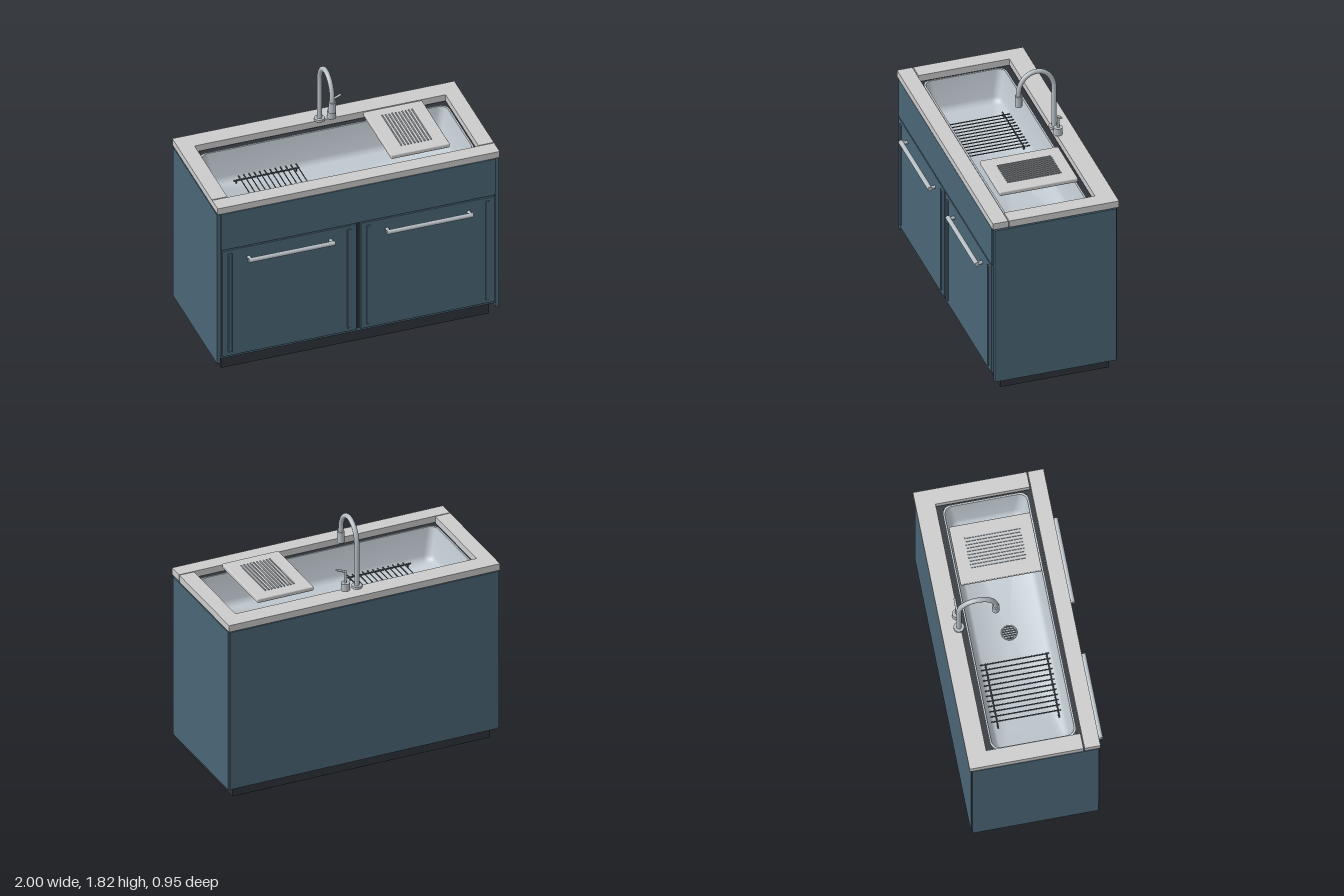
import * as THREE from 'three';
import { toCreasedNormals } from 'three/addons/utils/BufferGeometryUtils.js';
import { RoundedBoxGeometry } from 'three/addons/geometries/RoundedBoxGeometry.js';

const mat = (color) => new THREE.MeshStandardMaterial({ color });
const stone = mat(0xcccccc);
const blue = mat(0x4a6575);
const dark = mat(0x2e3238);
const steel = mat(0xb4bcc2);
const sinkSteel = mat(0xc0c9d0);
sinkSteel.side = THREE.DoubleSide;
const wire = mat(0x596066);

function add(parent, name, geometry, material, x = 0, y = 0, z = 0) {
  const mesh = new THREE.Mesh(geometry, material);
  mesh.name = name;
  mesh.position.set(x, y, z);
  parent.add(mesh);
  return mesh;
}

// Box given by its min and max along each axis, optionally rounded
function box(parent, name, material, [x0, x1], [y0, y1], [z0, z1], r = 0) {
  const s = [x1 - x0, y1 - y0, z1 - z0];
  const g = r ? new RoundedBoxGeometry(...s, 2, r) : new THREE.BoxGeometry(...s);
  return add(parent, name, g, material, (x0 + x1) / 2, (y0 + y1) / 2, (z0 + z1) / 2);
}

// Cylinder between two points
function rod(parent, name, material, a, b, r, sides = 16, r2 = r) {
  const p = new THREE.Vector3(...a), q = new THREE.Vector3(...b);
  const d = q.clone().sub(p);
  const mesh = add(parent, name, new THREE.CylinderGeometry(r2, r, d.length(), sides), material);
  mesh.position.copy(p).add(q).multiplyScalar(0.5);
  mesh.quaternion.setFromUnitVectors(new THREE.Vector3(0, 1, 0), d.normalize());
  return mesh;
}

function group(parent, name) {
  const g = new THREE.Group();
  g.name = name;
  parent.add(g);
  return g;
}

// Horizontal plate with a rectangular outline and an optional rectangular hole
function plate(parent, name, material, [x, z0, z1], hole, [y0, y1]) {
  const rect = (P, hx, a, b) => new P([[-hx, -b], [hx, -b], [hx, -a], [-hx, -a]].map((p) => new THREE.Vector2(...p)));
  const shape = rect(THREE.Shape, x, z0, z1);
  shape.holes.push(rect(THREE.Path, ...hole));
  const g = new THREE.ExtrudeGeometry(shape, { depth: y1 - y0, bevelEnabled: false });
  g.rotateX(-Math.PI / 2);
  return add(parent, name, g, material, 0, y0, 0);
}

// Rounded rectangle loops joined into a basin shell
function basinGeometry(loops, centreZ) {
  const n = 8, per = 4 * (n + 1), pos = [], index = [];
  for (const [hx, hz, r, y] of loops) {
    for (let c = 0; c < 4; c++) {
      const sx = c === 0 || c === 3 ? 1 : -1, sz = c < 2 ? 1 : -1;
      for (let i = 0; i <= n; i++) {
        const a = (c + i / n) * Math.PI / 2;
        pos.push(sx * (hx - r) + r * Math.cos(a), y, centreZ + sz * (hz - r) + r * Math.sin(a));
      }
    }
  }
  for (let l = 0; l < loops.length - 1; l++) {
    for (let i = 0; i < per; i++) {
      const a = l * per + i, b = l * per + (i + 1) % per;
      index.push(a, a + per, b, b, a + per, b + per);
    }
  }
  // floor fan
  const last = (loops.length - 1) * per, mid = pos.length / 3;
  pos.push(0, loops[loops.length - 1][3], centreZ);
  for (let i = 0; i < per; i++) index.push(last + i, mid, last + (i + 1) % per);
  const g = new THREE.BufferGeometry();
  g.setAttribute('position', new THREE.Float32BufferAttribute(pos, 3));
  g.setIndex(index);
  return toCreasedNormals(g, 0.7);
}

export function createModel() {
  const model = new THREE.Group();
  model.name = 'sinkCabinet';

  // Cabinet carcass
  const cabinet = group(model, 'cabinet');
  box(cabinet, 'toeKick', dark, [-0.95, 0.95], [0, 0.135], [-0.42, 0.345]);
  box(cabinet, 'bottomPanel', blue, [-0.975, 0.975], [0.1, 0.14], [-0.45, 0.38]);
  box(cabinet, 'backPanel', blue, [-0.985, 0.985], [0.08, 1.275], [-0.462, -0.44]);
  box(cabinet, 'frontFrame', dark, [-0.975, 0.975], [0.135, 1.27], [0.37, 0.395]);
  box(cabinet, 'apronPanel', blue, [-0.974, 0.974], [0.992, 1.285], [0.39, 0.415], 0.004);
  for (const s of [-1, 1]) {
    const xs = [s * 0.975, s].sort((a, b) => a - b);
    box(cabinet, 'sidePanel', blue, xs, [0.08, 1.278], [-0.455, 0.402]);
  }
  plate(cabinet, 'topDeck', dark, [0.975, -0.44, 0.37], [0.87, -0.29, 0.275], [1.25, 1.268]);

  // Doors with vertical trim and bar handles
  for (const s of [-1, 1]) {
    const door = group(model, s < 0 ? 'rightDoor' : 'leftDoor');
    const c = s * 0.49;
    box(door, 'doorPanel', blue, [c - 0.477, c + 0.477], [0.135, 0.986], [0.393, 0.416], 0.004);
    for (const t of [-1, 1]) {
      const x = c + t * 0.422;
      box(door, 'trimStrip', blue, [x - 0.014, x + 0.014], [0.165, 0.96], [0.41, 0.424], 0.004);
      rod(door, 'handlePost', steel, [c + t * 0.29, 0.9, 0.41], [c + t * 0.29, 0.9, 0.457], 0.012);
    }
    rod(door, 'handleBar', steel, [c - 0.305, 0.9, 0.457], [c + 0.305, 0.9, 0.457], 0.016, 24);
  }

  // Countertop: U-shaped slab and a separate front strip
  const counter = group(model, 'countertop');
  const u = new THREE.Shape([[-1, -0.3], [-0.89, -0.3], [-0.89, 0.34], [0.89, 0.34], [0.89, -0.3], [1, -0.3], [1, 0.473], [-1, 0.473]]
    .map((p) => new THREE.Vector2(...p)));
  const slab = new THREE.ExtrudeGeometry(u, { depth: 0.05, bevelEnabled: false });
  slab.rotateX(-Math.PI / 2);
  add(counter, 'counterSlab', slab, stone, 0, 1.287, 0);
  box(counter, 'frontStrip', stone, [-1, 1], [1.289, 1.337], [0.307, 0.415]);

  // Sink basin
  const sink = group(model, 'sink');
  add(sink, 'basin', basinGeometry([
    [0.85, 0.26, 0.06, 1.04], [0.882, 0.292, 0.06, 1.29], [0.87, 0.28, 0.055, 1.29],
    [0.835, 0.25, 0.06, 1.1], [0.825, 0.24, 0.06, 1.075], [0.8, 0.22, 0.05, 1.06],
  ], -0.01), sinkSteel);
  rod(sink, 'drain', dark, [0, 1.058, -0.012], [0, 1.064, -0.012], 0.05, 32);
  const ring = add(sink, 'drainRing', new THREE.TorusGeometry(0.05, 0.005, 8, 32), steel, 0, 1.063, -0.012);
  ring.rotation.x = Math.PI / 2;
  for (let i = -2; i <= 2; i++) {
    const h = Math.sqrt(0.0022 - (i * 0.016) ** 2);
    box(sink, 'drainBar', steel, [i * 0.016 - 0.003, i * 0.016 + 0.003], [1.062, 1.067], [-0.012 - h, -0.012 + h]);
  }

  // Wire rack in the basin
  const rack = group(model, 'wireRack');
  for (let i = 0; i < 12; i++) {
    const x = -0.612 + i * 0.0372;
    rod(rack, 'rackWire', wire, [x, 1.09, -0.25], [x, 1.09, 0.22], 0.004, 8);
  }
  for (const z of [-0.212, 0.202]) {
    rod(rack, 'rackRail', wire, [-0.66, 1.083, z], [-0.195, 1.083, z], 0.005, 8);
    for (const x of [-0.64, -0.215]) rod(rack, 'rackFoot', wire, [x, 1.058, z], [x, 1.083, z], 0.005, 8);
  }

  // Draining board with ridges
  const board = group(model, 'drainingBoard');
  box(board, 'board', stone, [0.285, 0.702], [1.342, 1.374], [-0.286, 0.266], 0.008);
  for (let i = 0; i < 10; i++) {
    const x = 0.39 + i * 0.0235;
    box(board, 'boardRidge', steel, [x - 0.004, x + 0.004], [1.37, 1.381], [-0.2, 0.18]);
  }

  // Gooseneck tap
  const tap = group(model, 'tap');
  const tz = -0.353;
  rod(tap, 'tapFlange', steel, [0, 1.335, tz], [0, 1.353, tz], 0.036, 32);
  const path = [[1.35, tz], [1.45, tz], [1.55, tz]].map(([y, z]) => new THREE.Vector3(0, y, z));
  for (let i = 0; i <= 12; i++) {
    const a = i / 12 * Math.PI;
    path.push(new THREE.Vector3(0, 1.655 + 0.15 * Math.sin(a), -0.228 - 0.125 * Math.cos(a)));
  }
  path.push(new THREE.Vector3(0, 1.62, -0.103));
  add(tap, 'tapNeck', new THREE.TubeGeometry(new THREE.CatmullRomCurve3(path), 80, 0.017, 16), steel);
  rod(tap, 'sprayHead', steel, [0, 1.555, -0.103], [0, 1.637, -0.103], 0.025, 24);

  // Side lever
  const lever = group(model, 'tapLever');
  rod(lever, 'leverBase', steel, [0.085, 1.335, tz], [0.085, 1.39, tz], 0.03, 24);
  rod(lever, 'leverStem', steel, [0.085, 1.39, tz], [0.085, 1.475, tz], 0.009, 16);
  rod(lever, 'leverArm', steel, [0.08, 1.471, tz], [0.152, 1.502, tz], 0.008, 16);

  return model;
}
